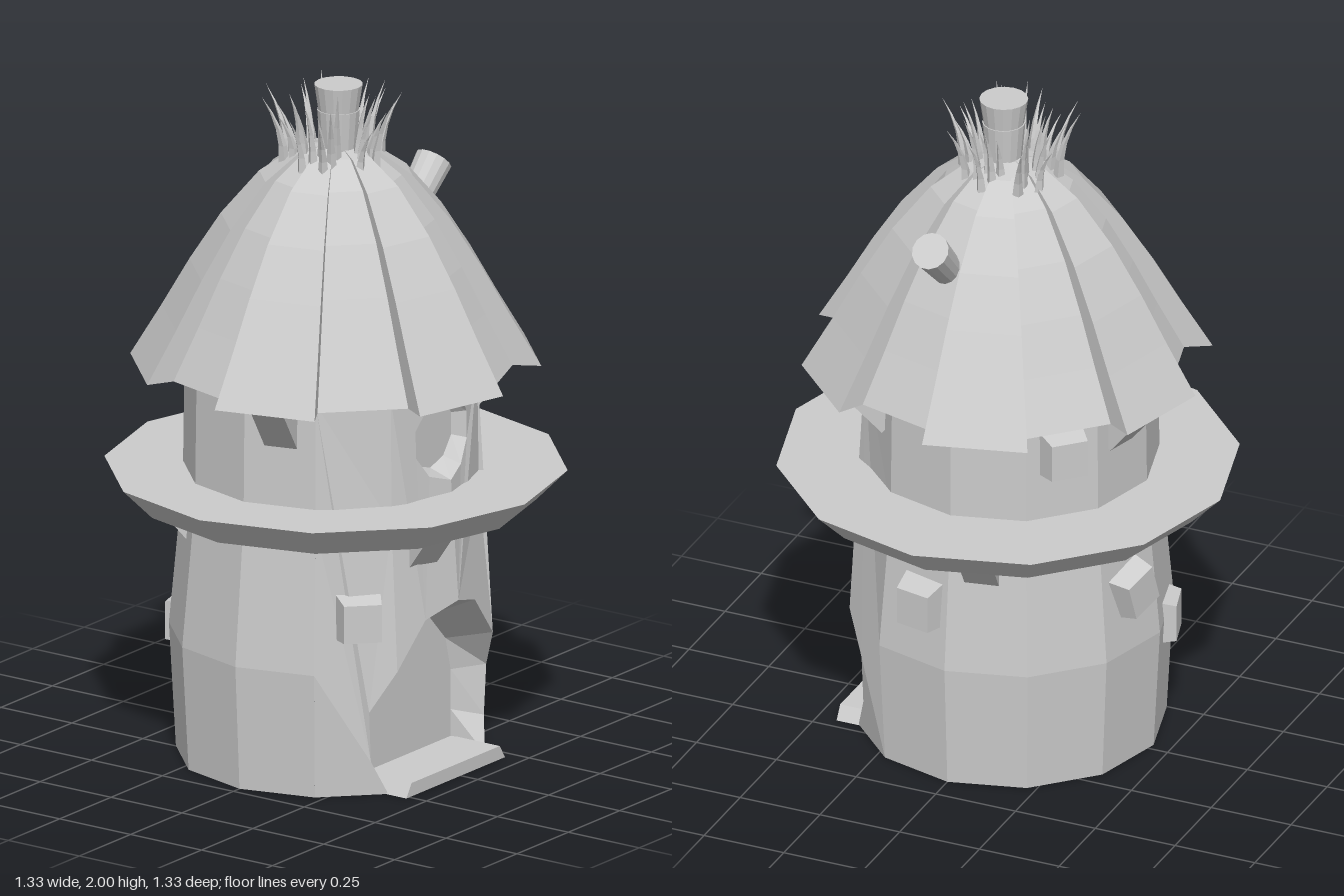
import * as THREE from 'three';

const grey = new THREE.MeshStandardMaterial({ color: 0xcccccc, flatShading: true });
const thin = new THREE.MeshStandardMaterial({ color: 0xcccccc, flatShading: true, side: THREE.DoubleSide });
const V2 = (x, y) => new THREE.Vector2(x, y);
const rad = THREE.MathUtils.degToRad;

// Tower wall: twelve-sided, with radius varying by height
const wall = [[0.445, 0], [0.465, 0.37], [0.425, 0.8], [0.42, 1.17]];
const CX = -0.025;
function radiusAt(y) {
  for (let i = 1; i < wall.length; i++) {
    const [r0, y0] = wall[i - 1], [r1, y1] = wall[i];
    if (y <= y1) return r0 + (r1 - r0) * (y - y0) / (y1 - y0);
  }
  return 0.42;
}
// Depth of the front facets at a given offset from the centre line
function wallZ(x, y) {
  const r = radiusAt(y), d = Math.abs(x);
  return d < 0.5 * r ? r - 0.268 * d : 0.866 * r - (d - 0.5 * r);
}

function add(parent, name, geo, mat = grey) {
  const m = new THREE.Mesh(geo, mat);
  m.name = name;
  parent.add(m);
  return m;
}

// Band of quads between two point rows of equal length
function loft(a, b) {
  const pos = [], idx = [];
  a.forEach((p, i) => {
    pos.push(...p, ...b[i]);
    if (i) { const k = 2 * i; idx.push(k - 2, k - 1, k, k, k - 1, k + 1); }
  });
  const g = new THREE.BufferGeometry();
  g.setAttribute('position', new THREE.Float32BufferAttribute(pos, 3));
  g.setIndex(idx);
  g.computeVertexNormals();
  return g;
}

const flat = pts => new THREE.ShapeGeometry(new THREE.Shape(pts.map(p => V2(p[0], p[1]))));

function buildTower() {
  const g = new THREE.Group();
  g.name = 'tower';
  const archOuter = [[0.235, 0], [0.275, 0.1], [0.285, 0.25], [0.2325, 0.37], [0.12, 0.5], [0, 0.535]];
  const archInner = [[0.21, 0], [0.21, 0.12], [0.21, 0.24], [0.185, 0.34], [0.1, 0.43], [0, 0.45]];
  const circle = (r, n, i) => [r * Math.sin(i / n * 2 * Math.PI), 1.02 + r * Math.cos(i / n * 2 * Math.PI)];
  const half = [0, 1, 2, 3, 4, 5].map(i => circle(0.13, 10, i));

  // Sides and back
  add(g, 'towerWall', new THREE.LatheGeometry(wall.map(p => V2(...p)), 8, Math.PI / 3, Math.PI * 4 / 3));
  add(g, 'towerBase', new THREE.CircleGeometry(0.445, 12).rotateX(Math.PI / 2));

  // Front facets, cut around the doorway and round window
  const side = [...wall.map(([r, y]) => [r * 0.866, y]), [0.21, 1.17], [0.2125, 0.8],
    ...archOuter.slice(0, 4).reverse()];
  const middle = [[0.2325, 0.37], [0.2125, 0.8], [0.21, 1.17], [0, 1.17], ...half, ...archOuter.slice(4).reverse()];
  for (const s of [-1, 1]) for (const pts of [side, middle]) {
    const geo = flat(pts.map(([x, y]) => [s * x, y]));
    const p = geo.attributes.position;
    for (let i = 0; i < p.count; i++) p.setZ(i, wallZ(p.getX(i), p.getY(i)));
    add(g, 'frontWall', geo);
  }

  // Doorway: sloping reveal, back panel and step
  const whole = a => [...a.map(([x, y]) => [-x, y]), ...a.slice(0, -1).reverse()];
  const outer = whole(archOuter), inner = whole(archInner);
  add(g, 'doorReveal', loft(outer.map(([x, y]) => [x, y, wallZ(x, y)]), inner.map(([x, y]) => [x, y, 0.27])), thin);
  add(g, 'door', flat(inner).translate(0, 0, 0.27));
  const step = new THREE.Shape([V2(-0.24, 0), V2(0.24, 0), V2(0.215, 0.04), V2(-0.215, 0.04)]);
  add(g, 'doorStep', new THREE.ExtrudeGeometry(step, { depth: 0.19, bevelEnabled: false }).translate(0, 0, 0.25));

  // Round window: reveal and pane
  const ring = r => Array.from({ length: 11 }, (_, i) => circle(r, 10, i));
  add(g, 'windowReveal', loft(ring(0.13).map(([x, y]) => [x, y, wallZ(x, y)]),
    ring(0.107).map(([x, y]) => [x, y, 0.35])), thin);
  add(g, 'windowPane', flat(ring(0.107).slice(0, 10)).translate(0, 0, 0.35));
  g.position.x = CX;
  return g;
}

// Holder whose +x axis points outward at an angle measured from +x towards +z
function spoke(parent, name, deg) {
  const g = new THREE.Group();
  g.name = name;
  g.rotation.y = -rad(deg);
  g.position.x = -0.015;
  parent.add(g);
  return g;
}

function buildRoof() {
  const g = new THREE.Group();
  g.name = 'roof';
  const profile = [[0, 1.17], [0.59, 1.17], [0.5, 1.32], [0.42, 1.46], [0.33, 1.6], [0.22, 1.73], [0.12, 1.8], [0, 1.83]];
  for (let k = 0; k < 12; k++) {
    const raised = k % 2 === 1, s = raised ? 1 : 0.86;
    const pts = profile.map(([r, y]) => V2(r * s, y));
    add(g, raised ? 'raisedRoofPanel' : 'roofPanel', new THREE.LatheGeometry(pts, 1, rad(30 * k), rad(30)));
    // Radial edge between neighbouring panels
    add(g, 'panelEdge', flat(profile).rotateY(rad(30 * k - 90)), thin);
  }
  g.position.set(-0.012, 0, 0.008);
  return g;
}

// Curved grass blade
function blade(height, lean) {
  const geo = new THREE.ConeGeometry(0.016, height, 4, 4).translate(0, height / 2, 0);
  const p = geo.attributes.position;
  for (let i = 0; i < p.count; i++) p.setX(i, p.getX(i) + lean * (p.getY(i) / height) ** 2);
  return geo;
}

export function createModel() {
  const model = new THREE.Group();
  model.name = 'hutTower';
  model.add(buildTower(), buildRoof());

  // Balcony ring
  add(model, 'balcony', new THREE.CylinderGeometry(0.665, 0.575, 0.09, 12)).position.y = 0.81;

  // Slanted brackets below the balcony and below the roof
  for (const [y, start] of [[0.735, -13], [1.115, 45]]) for (let i = 0; i < 3; i++) {
    const b = add(spoke(model, 'bracket', start + 120 * i), 'bracketBeam', new THREE.BoxGeometry(0.06, 0.18, 0.1));
    b.position.set(0.445, y - 0.005, 0);
    b.rotation.z = -rad(40);
  }

  // Stones set in the wall: angle, height, turn
  for (const [deg, y, turn] of [[135, 0.54, 0], [12, 0.57, 0], [-75, 0.57, 0.3], [-107, 0.37, 0], [-45, 1.07, 0]]) {
    const geo = new THREE.BoxGeometry(0.12, 0.155, 0.15);
    const p = geo.attributes.position;
    for (let i = 0; i < p.count; i++) if (p.getX(i) > 0) {
      p.setY(i, p.getY(i) * (p.getY(i) > 0 ? 0.55 : 0.9));
      p.setZ(i, p.getZ(i) * (p.getZ(i) > 0 ? 0.6 : 0.85));
    }
    const s = add(spoke(model, 'stone', deg), 'wallStone', geo);
    s.position.set(y > 1 ? 0.4 : 0.425, y, 0);
    s.rotation.x = turn;
  }

  // Side pipe through the roof
  const pipe = add(model, 'sidePipe', new THREE.CylinderGeometry(0.055, 0.042, 0.22, 14));
  pipe.position.set(0.295, 1.605, 0.075);
  pipe.rotation.z = -rad(45);

  // Chimney at the peak
  const chimney = new THREE.Group();
  chimney.name = 'chimney';
  chimney.position.set(-0.015, 0, 0.02);
  add(chimney, 'chimneyCap', new THREE.CylinderGeometry(0.07, 0.058, 0.08, 16)).position.y = 1.96;
  add(chimney, 'chimneyNeck', new THREE.CylinderGeometry(0.062, 0.05, 0.14, 16)).position.y = 1.855;
  model.add(chimney);

  // Tufts of grass around the chimney
  for (let c = 0; c < 5; c++) for (let i = 0; i < 6; i++) {
    const h = 0.14 + 0.07 * ((i * 5 + c * 3) % 7) / 6;
    const b = add(spoke(model, 'grassTuft', 16 + 72 * c + (i - 2.5) * 9), 'grassBlade', blade(h, 0.035 + 0.015 * (i % 3)));
    b.position.set(0.09 + 0.025 * (i % 3), 1.79 - 0.012 * (i % 3), 0);
  }
  return model;
}
